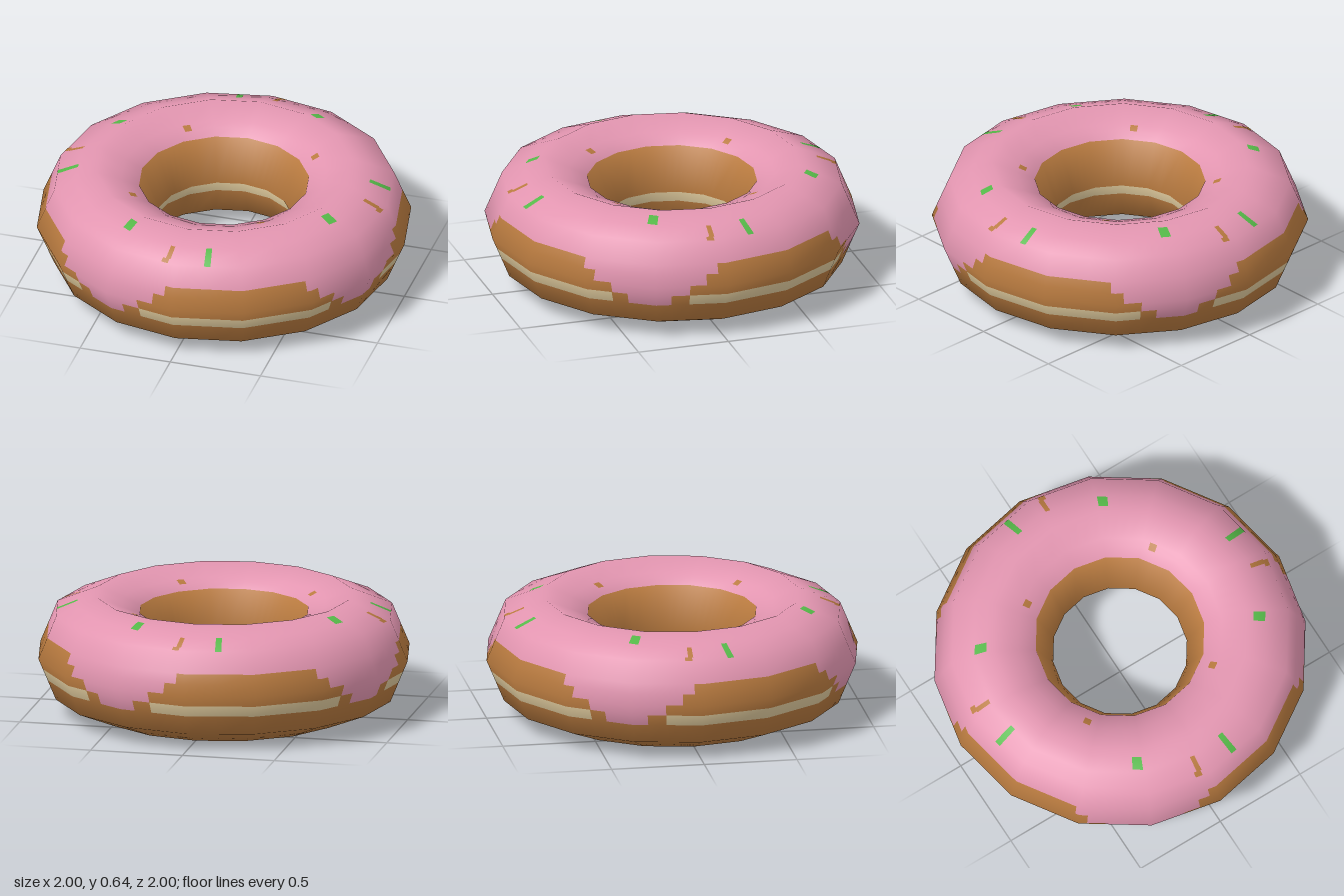
import * as THREE from 'three';

const RING = 0.68, TUBE = 0.32, SIDES = 16, TUBE_SIDES = 8;

// Surface coordinates: s counts ring facets from the front towards +x,
// k counts tube facets (0 outer equator, 2 top, 4 inner equator, -2 bottom).
const corner = (s, k) => {
  const a = s * Math.PI * 2 / SIDES, b = k * Math.PI * 2 / TUBE_SIDES;
  const normal = new THREE.Vector3(Math.cos(b) * Math.sin(a), Math.sin(b), Math.cos(b) * Math.cos(a));
  const point = new THREE.Vector3(Math.sin(a), 0, Math.cos(a)).multiplyScalar(RING)
    .addScaledVector(normal, TUBE);
  point.y += TUBE;
  return { point, normal };
};

// Point and smooth normal inside the flat facet whose lower corner is (i, j)
function onFacet(i, j, s, k) {
  const c = [corner(i, j), corner(i + 1, j), corner(i, j + 1), corner(i + 1, j + 1)];
  const mix = key => c[0][key].clone().lerp(c[1][key], s - i)
    .lerp(c[2][key].clone().lerp(c[3][key], s - i), k - j);
  return { point: mix('point'), normal: mix('normal').normalize() };
}

// Colour patches of one quarter, painted in order: [part, s0, s1, k0, k1]
const patches = [
  ['dough', -2, 2, -4, 4],
  ['creamBand', -0.52, 2, -0.52, -0.25],
  ['creamBand', -2, -1.64, -0.52, -0.25],
  ['creamBand', -2, 2, -3.98, -3.71],
  ['icing', -2, 2, 0.5, 3],
  // stepped drip
  ['icing', 1.94, 2, 0.27, 0.5],
  ['icing', -2, -0.12, 0.27, 0.5],
  ['icing', -1.88, -0.29, 0.03, 0.27],
  ['icing', -1.63, -0.52, -0.25, 0.03],
  ['icing', -1.41, -0.78, -0.52, -0.25],
  // sprinkles
  ['greenSprinkles', 0.43, 0.53, 1, 1.5],
  ['greenSprinkles', -1.21, -1.03, 1.54, 1.82],
  ['brownSprinkles', -0.24, -0.13, 1, 1.12],
  ['brownSprinkles', -0.19, -0.11, 1.12, 1.47],
  ['brownSprinkles', 1.61, 1.8, 2.58, 2.75],
];

// All patch edges plus the facet edges, sorted and without repeats
const breaks = (a, b, lo, hi) => {
  const set = new Set(patches.flatMap(p => [p[a], p[b]]));
  for (let i = lo; i <= hi; i++) set.add(i);
  return [...set].sort((x, y) => x - y);
};

function material(name, color) {
  const m = new THREE.MeshStandardMaterial({ color });
  m.name = name;
  return m;
}

export function createModel() {
  const brown = material('brown', 0xb87a3f);
  const green = material('green', 0x55b848);
  const materials = {
    dough: brown,
    icing: material('pink', 0xe295b0),
    creamBand: material('cream', 0xdcc79a),
    greenSprinkles: green,
    brownSprinkles: brown,
  };
  const data = {};
  for (const name in materials) data[name] = { position: [], normal: [] };

  // Cut the ring into cells and hand each cell to its part
  const S = breaks(1, 2, -2, 2), K = breaks(3, 4, -4, 4);
  for (let a = 0; a < S.length - 1; a++) {
    for (let b = 0; b < K.length - 1; b++) {
      const s = (S[a] + S[a + 1]) / 2, k = (K[b] + K[b + 1]) / 2;
      const [name] = patches.findLast(p => s > p[1] && s < p[2] && k > p[3] && k < p[4]);
      const i = Math.floor(s), j = Math.floor(k);
      const q = [[0, 0], [1, 0], [1, 1], [0, 1]].map(([u, v]) => onFacet(i, j, S[a + u], K[b + v]));
      // the pattern repeats four times around the ring
      for (let turn = 0; turn < 4; turn++) {
        const spin = v => v.clone().applyAxisAngle(new THREE.Vector3(0, 1, 0), turn * Math.PI / 2);
        for (const n of [0, 1, 2, 0, 2, 3]) {
          data[name].position.push(...spin(q[n].point).toArray());
          data[name].normal.push(...spin(q[n].normal).toArray());
        }
      }
    }
  }

  const group = new THREE.Group();
  group.name = 'donut';
  for (const name in data) {
    const geometry = new THREE.BufferGeometry();
    for (const key of ['position', 'normal']) {
      geometry.setAttribute(key, new THREE.Float32BufferAttribute(data[name][key], 3));
    }
    const mesh = new THREE.Mesh(geometry, materials[name]);
    mesh.name = name;
    group.add(mesh);
  }
  return group;
}
